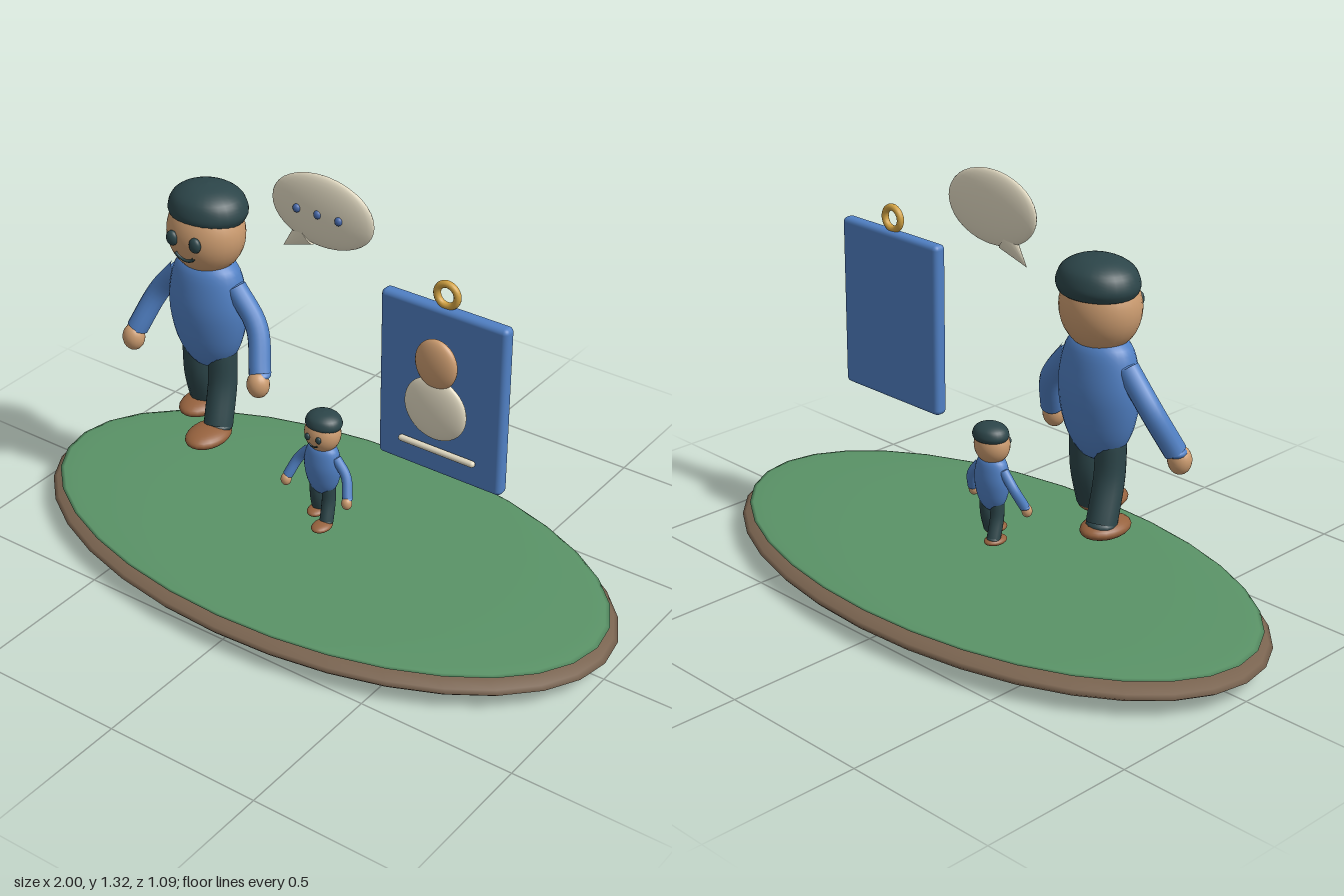
import * as THREE from 'three';
import { RoundedBoxGeometry } from 'three/addons/geometries/RoundedBoxGeometry.js';

const mat = (color) => new THREE.MeshStandardMaterial({ color });
const MAT = {
  grass: mat(0x5a9367), earth: mat(0x7a6450), blue: mat(0x5080c4), skin: mat(0xcc9c70),
  dark: mat(0x2c4549), shoe: mat(0x96623e), cream: mat(0xe4dcc4), gold: mat(0xd4a444), dot: mat(0x4668a8),
};

function add(parent, name, geometry, material, x = 0, y = 0, z = 0) {
  const mesh = new THREE.Mesh(geometry, material);
  mesh.name = name;
  mesh.position.set(x, y, z);
  parent.add(mesh);
  return mesh;
}

function ellipsoid(parent, name, material, [x, y, z], [rx, ry, rz], segments = 28) {
  const geometry = new THREE.SphereGeometry(1, segments, 18).scale(rx, ry, rz);
  return add(parent, name, geometry, material, x, y, z);
}

// Closed limb: a tube along a smooth path with round ends
function limb(parent, name, material, points, radius) {
  const path = new THREE.CatmullRomCurve3(points.map((p) => new THREE.Vector3(...p)));
  add(parent, name, new THREE.TubeGeometry(path, 14, radius, 14), material);
  for (const p of [points[0], points[points.length - 1]]) {
    ellipsoid(parent, name + 'End', material, p, [radius, radius * 0.5, radius], 14);
  }
}

function lathe(points, zScale) {
  const profile = new THREE.SplineCurve(points.map(([r, y]) => new THREE.Vector2(r, y))).getPoints(24);
  profile.forEach((p) => { p.x = Math.max(p.x, 0); });
  return new THREE.LatheGeometry(profile, 28).scale(1, 1, zScale);
}

// Walking figure, left foot forward
function createPerson(name) {
  const person = new THREE.Group();
  person.name = name;
  add(person, 'torso', lathe([[0, 0.555], [0.06, 0.58], [0.108, 0.65], [0.132, 0.76],
    [0.124, 0.85], [0.1, 0.915], [0.05, 0.94], [0, 0.945]], 0.71), MAT.blue);
  ellipsoid(person, 'head', MAT.skin, [0, 1.02, 0], [0.124, 0.13, 0.11]);
  add(person, 'cap', lathe([[0, 1.055], [0.1, 1.06], [0.121, 1.075], [0.125, 1.1],
    [0.107, 1.137], [0.06, 1.162], [0, 1.17]], 0.88), MAT.dark, 0, 0, -0.012);

  // Smile
  const smile = new THREE.TorusGeometry(0.04, 0.005, 8, 16, Math.PI * 0.7).rotateZ(Math.PI * 1.15);
  add(person, 'mouth', smile, MAT.dark, 0, 0.998, 0.108).rotation.x = 0.25;

  for (const s of [-1, 1]) {
    const side = s > 0 ? 'left' : 'right';
    ellipsoid(person, side + 'Eye', MAT.dark, [s * 0.043, 1.025, 0.107], [0.02, 0.024, 0.014], 16);
    limb(person, side + 'Arm', MAT.blue,
      [[s * 0.105, 0.86, 0], [s * 0.19, 0.755, 0.008], [s * 0.238, 0.635, 0.058]], 0.034);
    ellipsoid(person, side + 'Hand', MAT.skin, [s * 0.242, 0.607, 0.073], [0.036, 0.043, 0.034], 18);
    limb(person, side + 'Leg', MAT.dark,
      [[s * 0.05, 0.62, 0], [s * 0.055, 0.52, s * 0.01], [s * 0.07, 0.395, s * 0.055]], 0.046);
    ellipsoid(person, side + 'Shoe', MAT.shoe, [s * 0.067, 0.379, s > 0 ? 0.1 : -0.035], [0.062, 0.029, 0.086], 20);
  }
  return person;
}

// Thin speech bubble with a tail and three dots
function createBubble() {
  const bubble = new THREE.Group();
  bubble.name = 'speechBubble';
  ellipsoid(bubble, 'bubbleBody', MAT.cream, [0, 1.208, 0], [0.178, 0.112, 0.027]);
  const tail = add(bubble, 'bubbleTail', new THREE.ConeGeometry(0.042, 0.105, 16), MAT.cream, -0.1, 1.092, 0);
  tail.rotation.z = 2.25;
  tail.scale.z = 0.4;
  for (const x of [-0.073, 0, 0.073]) {
    ellipsoid(bubble, 'bubbleDot', MAT.dot, [x, 1.208, 0.026], [0.012, 0.013, 0.01], 14);
  }
  return bubble;
}

// Badge card with a hanging ring and a simple portrait
function createBadge() {
  const badge = new THREE.Group();
  badge.name = 'badge';
  badge.position.x = 0.425;
  add(badge, 'card', new RoundedBoxGeometry(0.42, 0.543, 0.044, 3, 0.016), MAT.blue, 0, 0.768, 0);
  add(badge, 'hangingRing', new THREE.TorusGeometry(0.034, 0.011, 12, 28), MAT.gold, 0, 1.077, 0);
  ellipsoid(badge, 'portraitHead', MAT.skin, [0, 0.877, 0.046], [0.069, 0.078, 0.027]);
  ellipsoid(badge, 'portraitBody', MAT.cream, [0, 0.73, 0.044], [0.104, 0.1, 0.024]);
  const bar = new THREE.CapsuleGeometry(0.01, 0.24, 4, 12).rotateZ(Math.PI / 2);
  add(badge, 'nameLine', bar, MAT.cream, 0, 0.583, 0.032);
  return badge;
}

export function createModel() {
  const model = new THREE.Group();
  model.name = 'walkingFiguresScene';

  // Oval island: earth below, grass on top
  ellipsoid(model, 'earthBase', MAT.earth, [0, 0.062, 0], [1, 0.058, 0.545], 32);
  ellipsoid(model, 'grassTop', MAT.grass, [0, 0.105, 0], [0.972, 0.018, 0.522], 32);

  const large = createPerson('largePerson');
  large.position.x = -0.427;
  const small = createPerson('smallPerson');
  small.scale.setScalar(0.47);
  small.position.y = -0.009;

  model.add(large, small, createBubble(), createBadge());
  return model;
}
